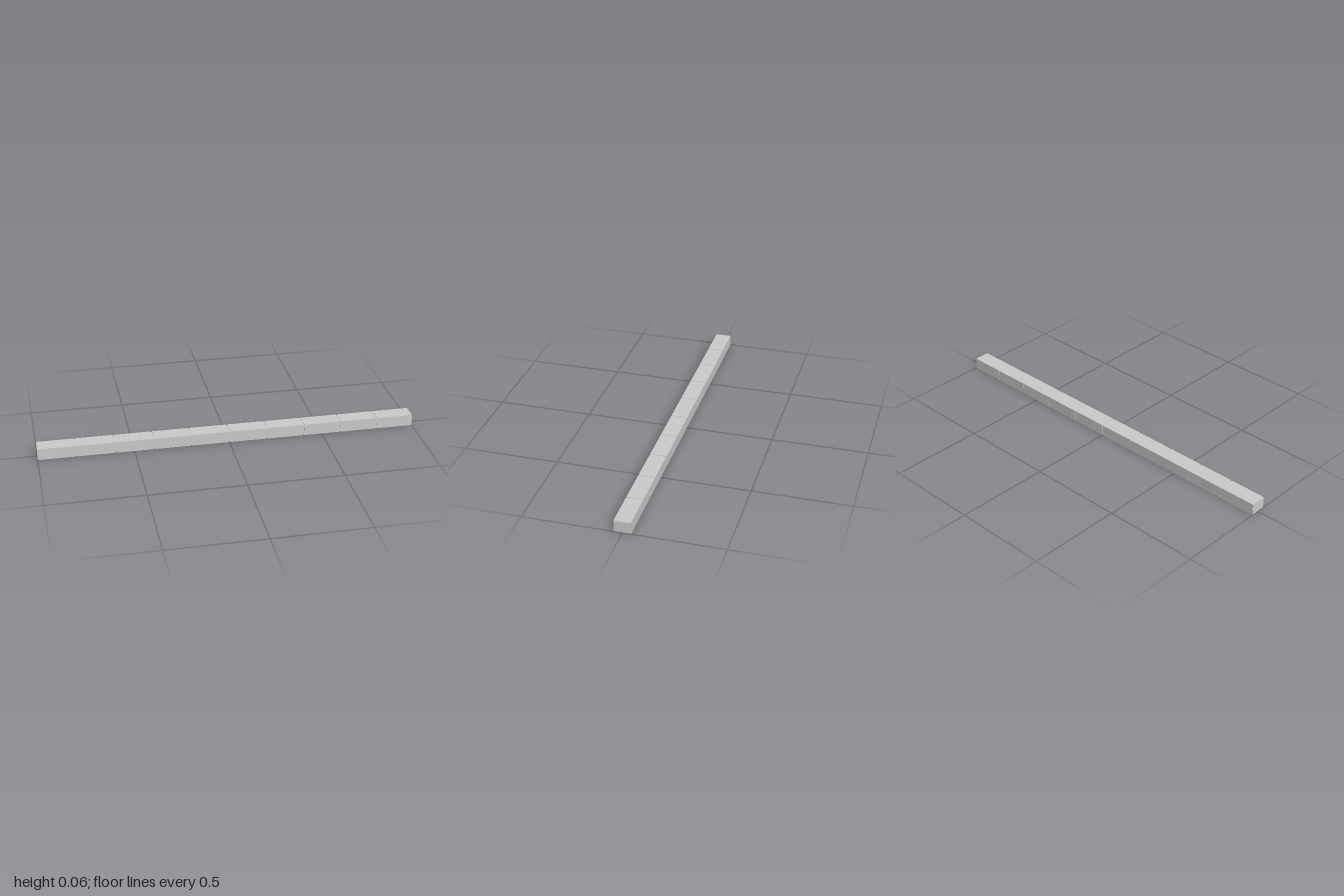
import * as THREE from 'three';

const LENGTH = 2, HEIGHT = 0.061, DEPTH = 0.085;
const COUNT = 10, JOINT = 0.008, RECESS = 0.002;

export function createModel() {
  const group = new THREE.Group();
  group.name = 'segmentedBeam';
  const material = new THREE.MeshStandardMaterial({ color: 0xcccccc, flatShading: true });

  const addBox = (name, w, h, d, x) => {
    const mesh = new THREE.Mesh(new THREE.BoxGeometry(w, h, d), material);
    mesh.name = name;
    mesh.position.set(x, HEIGHT / 2, 0);
    group.add(mesh);
  };

  // Slightly recessed core, visible in the joints and at both ends
  addBox('core', LENGTH, HEIGHT - 2 * RECESS, DEPTH - 2 * RECESS, 0);

  // Row of equal blocks separated by thin joints
  const pitch = LENGTH / COUNT;
  for (let i = 0; i < COUNT; i++) {
    addBox(`block${i + 1}`, pitch - JOINT, HEIGHT, DEPTH, -LENGTH / 2 + (i + 0.5) * pitch);
  }
  return group;
}
